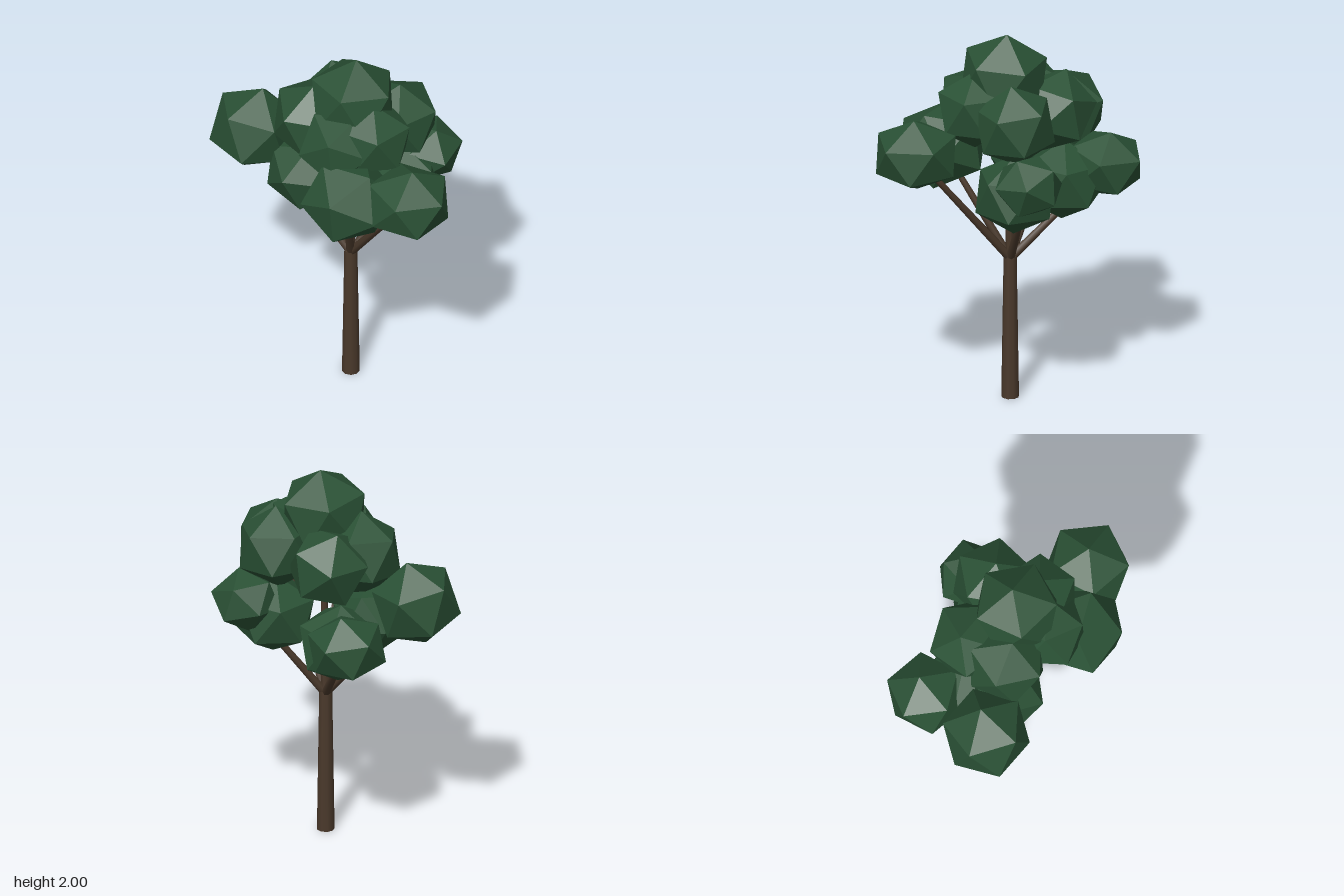
import * as THREE from 'three';

export function createModel() {
  const tree = new THREE.Group();
  tree.name = 'tree';
  const bark = new THREE.MeshStandardMaterial({ color: 0x4a392b });
  bark.name = 'bark brown';
  const leaf = new THREE.MeshStandardMaterial({ color: 0x2a5135 });
  leaf.name = 'leaf green';
  const UP = new THREE.Vector3(0, 1, 0);

  // Tapered limb between two points
  function limb(name, from, to, r0, r1, sides) {
    const a = new THREE.Vector3(...from), b = new THREE.Vector3(...to);
    const dir = b.clone().sub(a);
    const mesh = new THREE.Mesh(new THREE.CylinderGeometry(r1, r0, dir.length(), sides), bark);
    mesh.position.copy(a).add(b).multiplyScalar(0.5);
    mesh.quaternion.setFromUnitVectors(UP, dir.normalize());
    mesh.name = name;
    tree.add(mesh);
  }

  // Faceted leaf clump: one corner points along tip, spun about it, then flattened in height
  const corner = new THREE.Vector3(0, 1, (1 + Math.sqrt(5)) / 2).normalize();
  const toUp = new THREE.Quaternion().setFromUnitVectors(corner, UP);
  function clump(name, [x, y, z], r, tip, spin, flat = 1) {
    const turn = new THREE.Quaternion()
      .setFromUnitVectors(UP, new THREE.Vector3(...tip).normalize())
      .multiply(new THREE.Quaternion().setFromAxisAngle(UP, spin)).multiply(toUp);
    const geometry = new THREE.IcosahedronGeometry(r, 0).applyQuaternion(turn).scale(1, flat, 1);
    geometry.computeVertexNormals();
    const mesh = new THREE.Mesh(geometry, leaf);
    mesh.position.set(x, y, z);
    mesh.name = name;
    tree.add(mesh);
  }

  // Trunk and branches
  limb('trunk', [0.005, 0, 0.003], [0.005, 0.775, 0.003], 0.046, 0.034, 9);
  const fork = [0.005, 0.76, 0.003];
  const ends = [
    [-0.49, 1.36, 0.14], [0.51, 1.4, 0.155], [-0.4, 1.2, -0.24],
    [0.2, 1.24, -0.31], [0.2, 1.33, 0.28], [0.03, 1.7, 0.01],
  ];
  for (const end of ends) limb('branch', fork, end, 0.023, 0.014, 7);

  // Foliage: centre, radius, tip direction, spin, flattening
  const clumps = [
    ['leftCrown', [0.52, 1.43, 0.165], 0.235, [0.08, 1, -0.02], Math.PI / 2, 0.82],
    ['rightCrown', [-0.515, 1.395, 0.15], 0.235, [0.1, 1, -0.2], 1.1],
    ['backRightCrown', [-0.425, 1.235, -0.25], 0.215, [0, 1, -0.2], 0.9, 0.85],
    ['backLeftCrown', [0.22, 1.32, -0.35], 0.185, [0.1, 0.4, 1], 0.3, 0.9],
    ['lowerBackCrown', [0.17, 1.22, -0.2], 0.225, [0.05, -1, 0], 0.3, 0.95],
    ['lowerRightCrown', [-0.24, 1.165, -0.13], 0.23, [0.05, -1, 0], 0.7, 0.93],
    ['lowerFrontCrown', [-0.22, 1.24, 0.1], 0.21, [0.1, 0.2, 1], 0.4],
    ['frontCrown', [0.22, 1.37, 0.28], 0.25, [0.06, 0.11, 0.24], 0.25, 0.92],
    ['upperRightCrown', [-0.18, 1.58, 0.08], 0.225, [0.1, 1, 0.1], 1.1],
    ['upperBackCrown', [-0.17, 1.57, -0.14], 0.22, [0.2, 0.5, -0.8], 0.6],
    ['upperBackLeftCrown', [0.16, 1.59, -0.19], 0.22, [0, 0.5, -0.9], 0.1],
    ['upperLeftCrown', [0.2, 1.62, 0.06], 0.21, [0, 1, 0], 0.8],
    ['upperFrontCrown', [0.07, 1.58, 0.18], 0.215, [0.07, 0.12, 0.17], 0.5],
    ['topCrown', [0.035, 1.76, 0.02], 0.243, [0, 1, -0.1], 0.35],
  ];
  for (const c of clumps) clump(...c);

  return tree;
}
